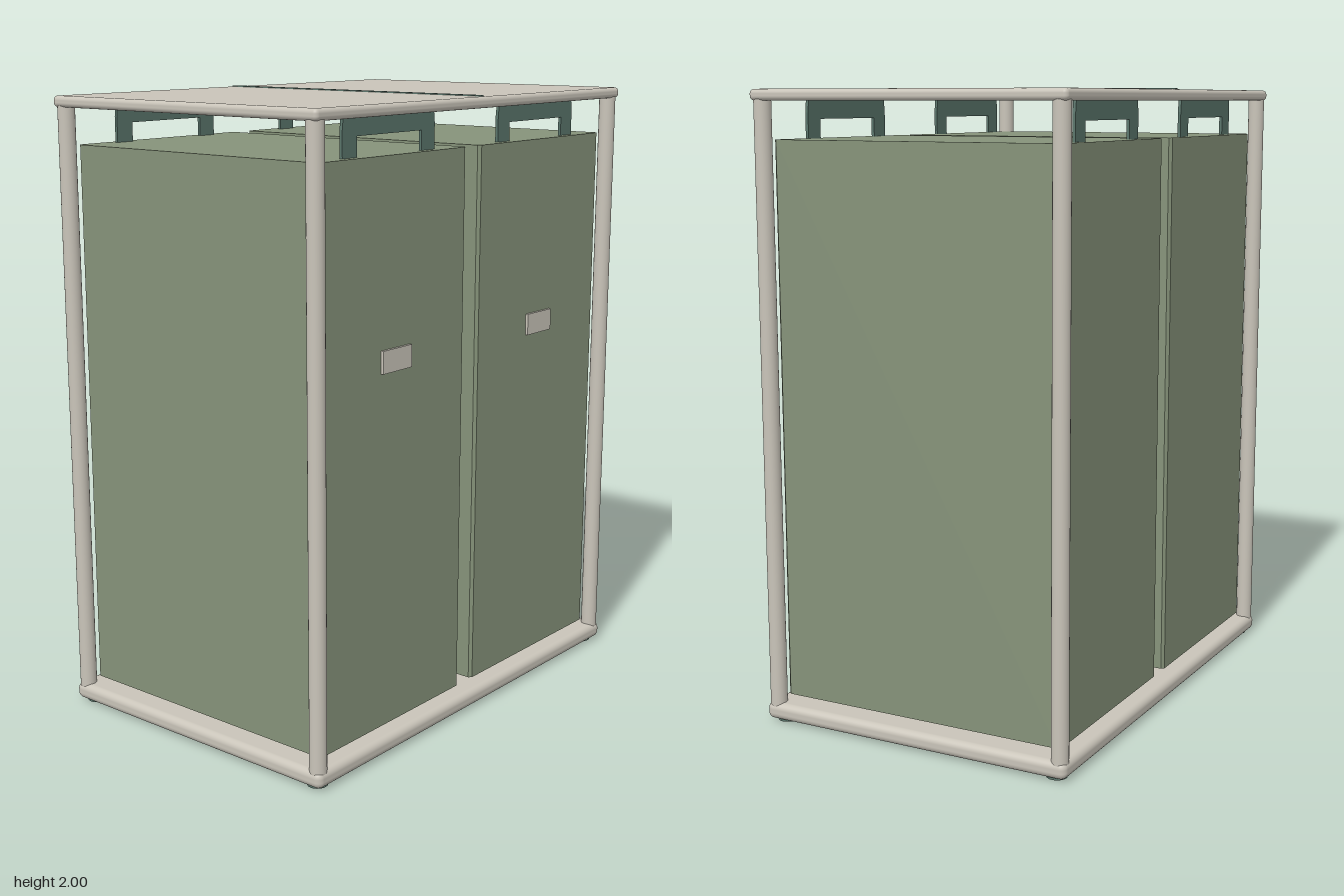
import * as THREE from 'three';
import { RoundedBoxGeometry } from 'three/addons/geometries/RoundedBoxGeometry.js';

const mat = (name, color) => {
  const m = new THREE.MeshStandardMaterial({ color });
  m.name = name;
  return m;
};

export function createModel() {
  const group = new THREE.Group();
  const frame = mat('pale frame', 0xc9c4b9);
  const green = mat('sage panel', 0x86937a);
  const dark = mat('dark green trim', 0x5a756b);

  const add = (name, geometry, material, x, y, z) => {
    const mesh = new THREE.Mesh(geometry, material);
    mesh.name = name;
    mesh.position.set(x, y, z);
    group.add(mesh);
    return mesh;
  };

  // Base and roof slabs with softened edges
  add('base', new RoundedBoxGeometry(1.59, 0.055, 1.07, 4, 0.022), frame, 0, 0.0355, 0);
  add('roof', new RoundedBoxGeometry(1.59, 0.035, 1.07, 4, 0.014), frame, 0, 1.9785, 0);
  add('roofSeam', new THREE.BoxGeometry(0.01, 0.008, 1.04), dark, 0, 1.996, 0);

  // Corner posts and feet
  const post = new THREE.CylinderGeometry(0.027, 0.027, 1.92, 24);
  const foot = new THREE.CylinderGeometry(0.032, 0.032, 0.02, 20);
  for (const sx of [-1, 1]) for (const sz of [-1, 1]) {
    add('post', post, frame, sx * 0.765, 1.01, sz * 0.505);
    add('foot', foot, dark, sx * 0.745, 0.01, sz * 0.485);
  }

  // Cabinet: plan outline with chamfered upright edges, extruded upward
  const w = 0.35, d = 0.49, c = 0.009;
  const plan = new THREE.Shape([
    [-w + c, -d], [w - c, -d], [w, -d + c], [w, d - c],
    [w - c, d], [-w + c, d], [-w, d - c], [-w, -d + c],
  ].map(([x, y]) => new THREE.Vector2(x, y)));
  const cabinet = new THREE.ExtrudeGeometry(plan, { depth: 1.765, bevelEnabled: false });
  cabinet.rotateX(-Math.PI / 2);

  // Bracket: upside-down U plate
  const u = new THREE.Shape([
    [-0.217, 0], [-0.152, 0], [-0.152, 0.06], [0.152, 0.06], [0.152, 0],
    [0.217, 0], [0.217, 0.08], [0.212, 0.122], [-0.212, 0.122], [-0.217, 0.08],
  ].map(([x, y]) => new THREE.Vector2(x, y)));
  const bracket = new THREE.ExtrudeGeometry(u, { depth: 0.01, bevelEnabled: false });
  bracket.translate(0, 0, -0.005);

  for (const s of [-1, 1]) {
    add('cabinet', cabinet, green, s * 0.385, 0.08, 0);
    add('labelPlate', new THREE.BoxGeometry(0.138, 0.07, 0.009), frame, s * 0.385, 1.24, 0.4945);
    for (const z of [-0.46, 0.46]) add('bracket', bracket, dark, s * 0.385, 1.845, z);
  }
  return group;
}
